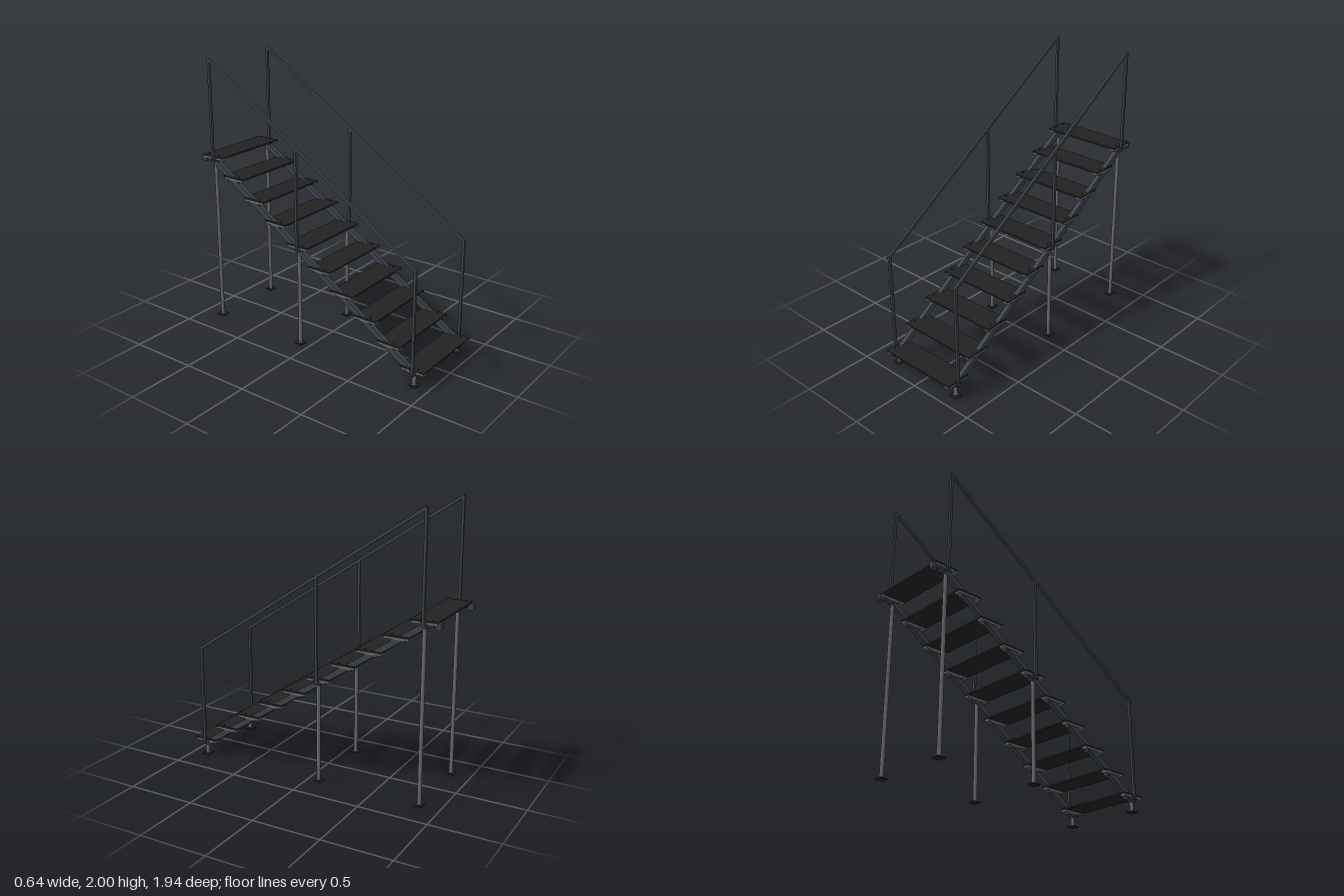
import * as THREE from 'three';

function material(name, color) {
  const m = new THREE.MeshStandardMaterial({ color });
  m.name = name;
  return m;
}

export function createModel() {
  const group = new THREE.Group();
  const frame = material('blue grey steel', 0x3c424a);
  const steel = material('grey steel', 0x6c6c70);
  const black = material('black tread', 0x222222);

  const add = (name, geometry, mat, x, y, z) => {
    const mesh = new THREE.Mesh(geometry, mat);
    mesh.name = name;
    mesh.position.set(x, y, z);
    group.add(mesh);
    return mesh;
  };
  const box = (name, mat, w, h, d, x, y, z) =>
    add(name, new THREE.BoxGeometry(w, h, d), mat, x, y, z);
  const rod = (name, mat, r, h, x, y, z, sides = 16) =>
    add(name, new THREE.CylinderGeometry(r, r, h, sides), mat, x, y, z);
  // Square bar between two points (z, y) in a side plane
  const bar = (name, w, h, x, [z0, y0], [z1, y1]) => {
    const b = box(name, frame, w, h, Math.hypot(z1 - z0, y1 - y0), x, (y0 + y1) / 2, (z0 + z1) / 2);
    b.rotation.x = Math.atan2(y1 - y0, z0 - z1);
  };

  const STEPS = 10, FRONT = 0.88, BACK = -0.855;
  const LEG_X = 0.283, RAIL_X = 0.311;
  // Post positions: z, foot height of the rail post, top of the rail post
  const posts = [[0.885, 0.09, 0.84], [-0.08, 0.725, 1.475], [-0.85, 1.24, 1.988]];

  // Treads
  for (let i = 0; i < STEPS; i++) {
    const z = FRONT + (BACK - FRONT) * i / (STEPS - 1);
    const y = 0.124 + 0.1278 * i;
    box('tread', black, 0.615, 0.012, 0.183, 0, y, z);
    for (const s of [-1, 1]) {
      box('treadBracket', steel, 0.042, 0.014, 0.178, s * 0.285, y - 0.013, z);
      box('bracketFoot', frame, 0.034, 0.016, 0.1, s * 0.28, y - 0.028, z - 0.01);
      for (const dz of [0.035, -0.055])
        rod('bolt', black, 0.005, 0.008, s * LEG_X, y + 0.008, z + dz, 6);
    }
  }

  for (const s of [-1, 1]) {
    // Stringer and handrail
    bar('stringer', 0.034, 0.04, s * LEG_X, [0.895, 0.083], [-0.855, 1.243]);
    bar('handrail', 0.018, 0.02, s * RAIL_X, [0.891, 0.836], [-0.855, 1.987]);

    for (const [z, low, high] of posts) {
      // Ground leg, base plate and rail post
      rod('leg', steel, 0.014, low - 0.004, s * LEG_X, low / 2, z);
      box('basePlate', black, 0.06, 0.008, 0.06, s * LEG_X, 0.004, z);
      box('railPost', frame, 0.018, high - low, 0.018, s * RAIL_X, (low + high) / 2, z);
      box('postMount', frame, 0.014, 0.024, 0.045, s * 0.303, low + 0.015, z);
    }

    // Hooks at the top landing
    box('hookArm', frame, 0.036, 0.016, 0.12, s * LEG_X, 1.264, -0.908);
    box('hookTip', frame, 0.036, 0.045, 0.04, s * LEG_X, 1.25, -0.948);
  }
  return group;
}
